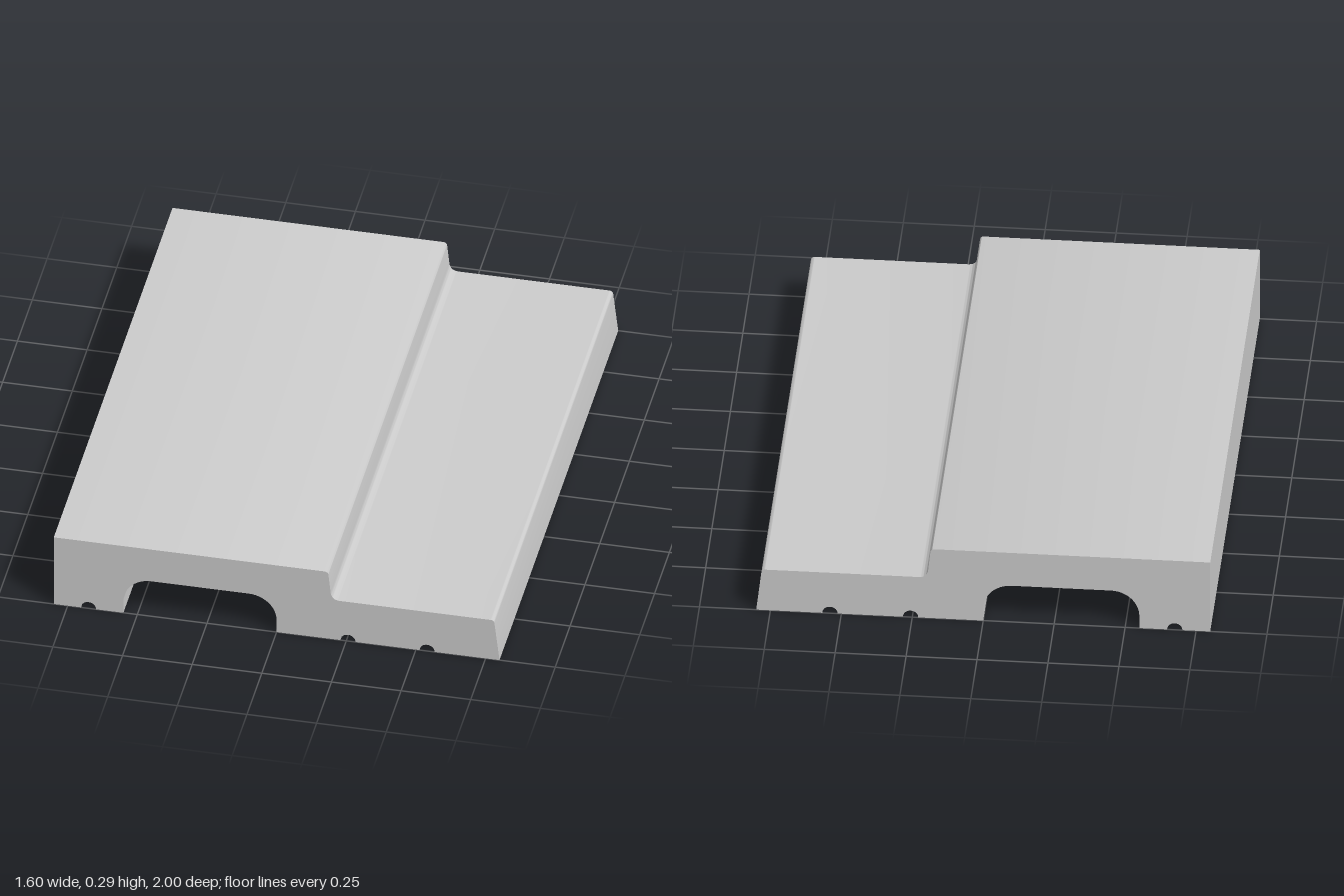
import * as THREE from 'three';
import { toCreasedNormals } from 'three/addons/utils/BufferGeometryUtils.js';

const LENGTH = 2;
const GROOVE_RADIUS = 0.027;

// Cross-section of the moulding, drawn counter-clockwise from the bottom left corner
function createProfile() {
  const s = new THREE.Shape();
  const groove = (x) => {
    s.lineTo(x - GROOVE_RADIUS, 0);
    s.absarc(x, 0, GROOVE_RADIUS, Math.PI, 0, true);
  };

  // underside: small groove, wide rounded channel, two more grooves
  s.moveTo(-0.8, 0);
  groove(-0.675);
  s.lineTo(-0.55, 0);
  s.lineTo(-0.55, 0.052);
  s.absarc(-0.45, 0.052, 0.1, Math.PI, Math.PI / 2, true);
  s.lineTo(-0.1, 0.152);
  s.absarc(-0.1, 0.052, 0.1, Math.PI / 2, 0, true);
  s.lineTo(0, 0);
  groove(0.256);
  groove(0.54);
  s.lineTo(0.8, 0);

  // sloping edge with a softened corner, then the lower step
  s.lineTo(0.782, 0.157);
  s.quadraticCurveTo(0.78, 0.17, 0.767, 0.17);
  s.lineTo(0.228, 0.17);

  // filleted riser up to the raised face
  s.quadraticCurveTo(0.198, 0.17, 0.194, 0.2);
  s.lineTo(0.186, 0.277);
  s.quadraticCurveTo(0.184, 0.29, 0.171, 0.29);
  s.lineTo(-0.8, 0.29);
  s.closePath();
  return s;
}

export function createModel() {
  const group = new THREE.Group();
  group.name = 'steppedMoulding';

  const extrusion = new THREE.ExtrudeGeometry(createProfile(), {
    depth: LENGTH,
    bevelEnabled: false,
    curveSegments: 16,
  });
  extrusion.translate(0, 0, -LENGTH / 2);

  const board = new THREE.Mesh(
    toCreasedNormals(extrusion, Math.PI / 6),
    new THREE.MeshStandardMaterial({ color: 0xcccccc })
  );
  board.name = 'mouldingBoard';
  group.add(board);
  return group;
}
